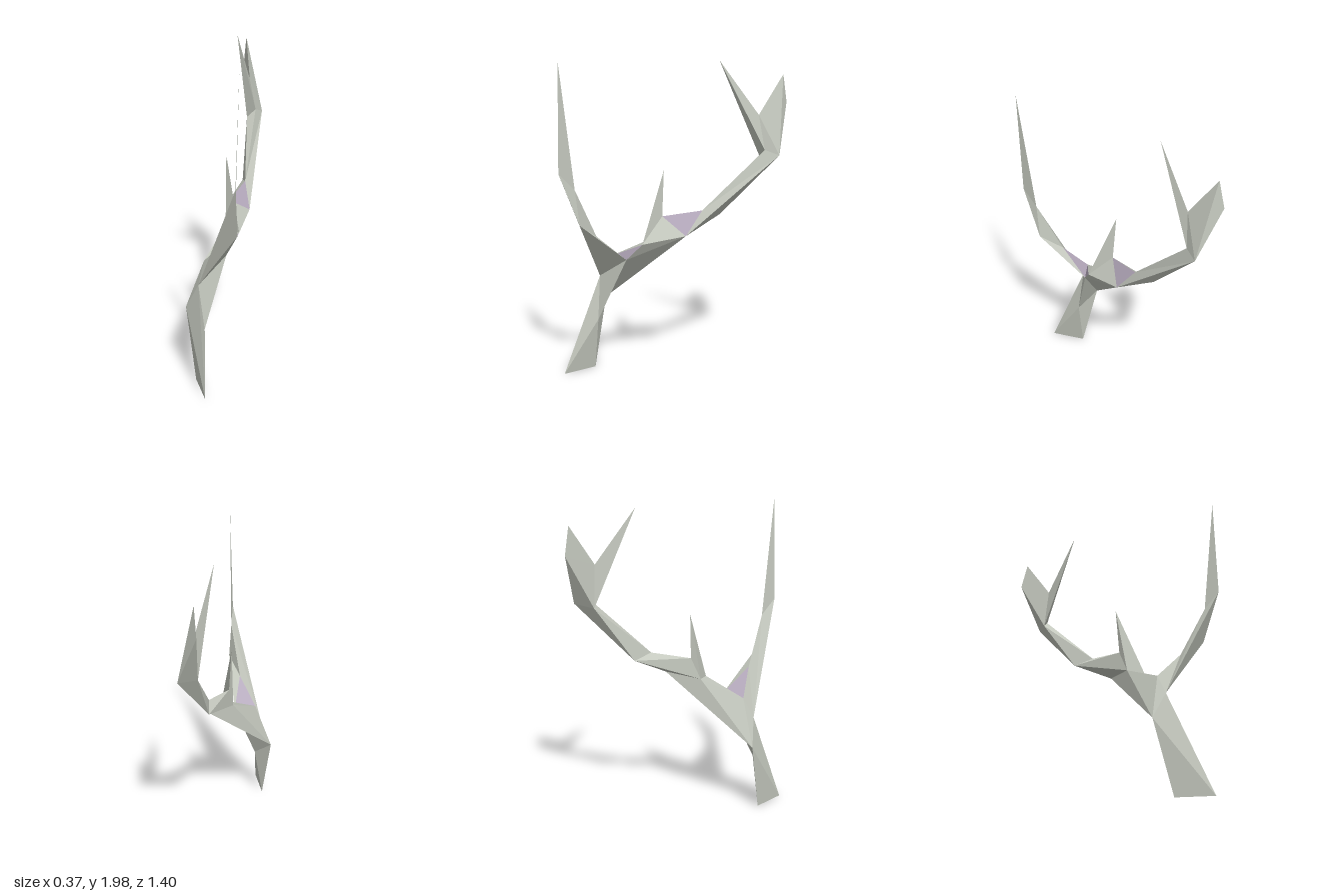
import * as THREE from 'three';

// Cross-section corners, from the cut foot up to the crown
const foot = { A: [-0.01, 0, 0.705], B: [-0.11, 0, 0.505] };
const lowerRing = { P1: [-0.185, 0.45, 0.425], P2: [-0.097, 0.62, 0.465], P3: [-0.058, 0.34, 0.482] };
const forkRing = { Q1: [0.04, 0.755, 0.305], Q2: [-0.077, 0.75, 0.4] };
const frontRing = { T: [0.055, 0.915, 0.487], U: [0.16, 1.01, 0.588], V: [0.152, 1.225, 0.612], W: [0.168, 1.325, 0.705] };
const middleRing = { S: [0.1, 0.865, 0.21], Z: [0.003, 0.88, 0.14], R: [0.118, 0.915, -0.055] };
const upperRing = { Y: [0.013, 1.02, 0.078], K: [0.07, 1.063, -0.163], L: [0.033, 1.03, -0.28] };
const crownRing = { M: [0.1, 1.4, -0.63], N: [0.07, 1.43, -0.545], D: [0.016, 1.38, -0.527] };
const crownTop = { C: [0.035, 1.64, -0.512], O: [-0.037, 1.71, -0.7] };
const tips = {
  frontTip: [0.184, 1.98, 0.69], smallTip: [-0.007, 1.305, 0.065],
  innerTip: [-0.003, 1.967, -0.272], outerTip: [-0.016, 1.88, -0.67],
};
const points = {
  ...foot, ...lowerRing, ...forkRing, ...frontRing, ...middleRing,
  ...upperRing, ...crownRing, ...crownTop, ...tips,
};

// Faceted skin between named corners, each facet turned away from the part's core
function skin(name, facets, material) {
  const triangles = facets.split(', ').map((facet) => facet.split(' '));
  const corners = new Set(triangles.flat());
  const core = new THREE.Vector3();
  corners.forEach((key) => core.add(new THREE.Vector3(...points[key])));
  core.divideScalar(corners.size);
  const position = [];
  for (const keys of triangles) {
    const [a, b, c] = keys.map((key) => new THREE.Vector3(...points[key]));
    const normal = b.clone().sub(a).cross(c.clone().sub(a));
    const outward = normal.dot(a.clone().sub(core)) >= 0;
    for (const p of outward ? [a, b, c] : [a, c, b]) position.push(p.x, p.y, p.z);
  }
  const geometry = new THREE.BufferGeometry();
  geometry.setAttribute('position', new THREE.Float32BufferAttribute(position, 3));
  geometry.computeVertexNormals();
  const mesh = new THREE.Mesh(geometry, material);
  mesh.name = name;
  return mesh;
}

export function createModel() {
  const bark = new THREE.MeshStandardMaterial({ color: 0xc4c8be, flatShading: true, side: THREE.DoubleSide });
  bark.name = 'pale grey';
  const patch = new THREE.MeshStandardMaterial({ color: 0xb8acbf, flatShading: true, side: THREE.DoubleSide });
  patch.name = 'pale mauve';

  const group = new THREE.Group();
  group.name = 'branch';
  group.add(
    // wedge-shaped foot
    skin('foot', 'A B P3, A B P1, A P1 P2, A P2 P3, B P3 P1', bark),
    // trunk from the foot to the small tine
    skin('trunk', 'P3 P2 Q1, P3 P1 Q1, P1 P2 Q2, P1 Q1 R, Q1 S R, Q2 Z S, P1 Q2 Z, P1 Z R', bark),
    // long front tine ending in a thin blade
    skin('frontTine', 'Q2 P2 T, P2 T V, P2 V W, P2 W U, W V U, P2 Q1 U, Q1 U T, U V T', bark),
    skin('frontTineBlade', 'frontTip V W', bark),
    skin('forkPatch', 'Q1 Q2 T, Q1 Q2 S', patch),
    // short spike in the middle
    skin('smallTine', 'smallTip S Y, smallTip Z S, smallTip Y Z', bark),
    // upper limb sweeping back
    skin('limbRoot', 'S Y R, Y Z L, Z R L, Y L K', bark),
    skin('limbPatch', 'Y K R', patch),
    skin('upperLimb', 'K R M, K M N, R L M, K N D, K D L, L D M', bark),
    // two-pointed crown
    skin('crown', 'C N M, C M outerTip, M O outerTip, C O outerTip, D C O, D M O', bark),
    skin('innerTine', 'innerTip C N, innerTip N D, innerTip D C', bark),
  );
  return group;
}
